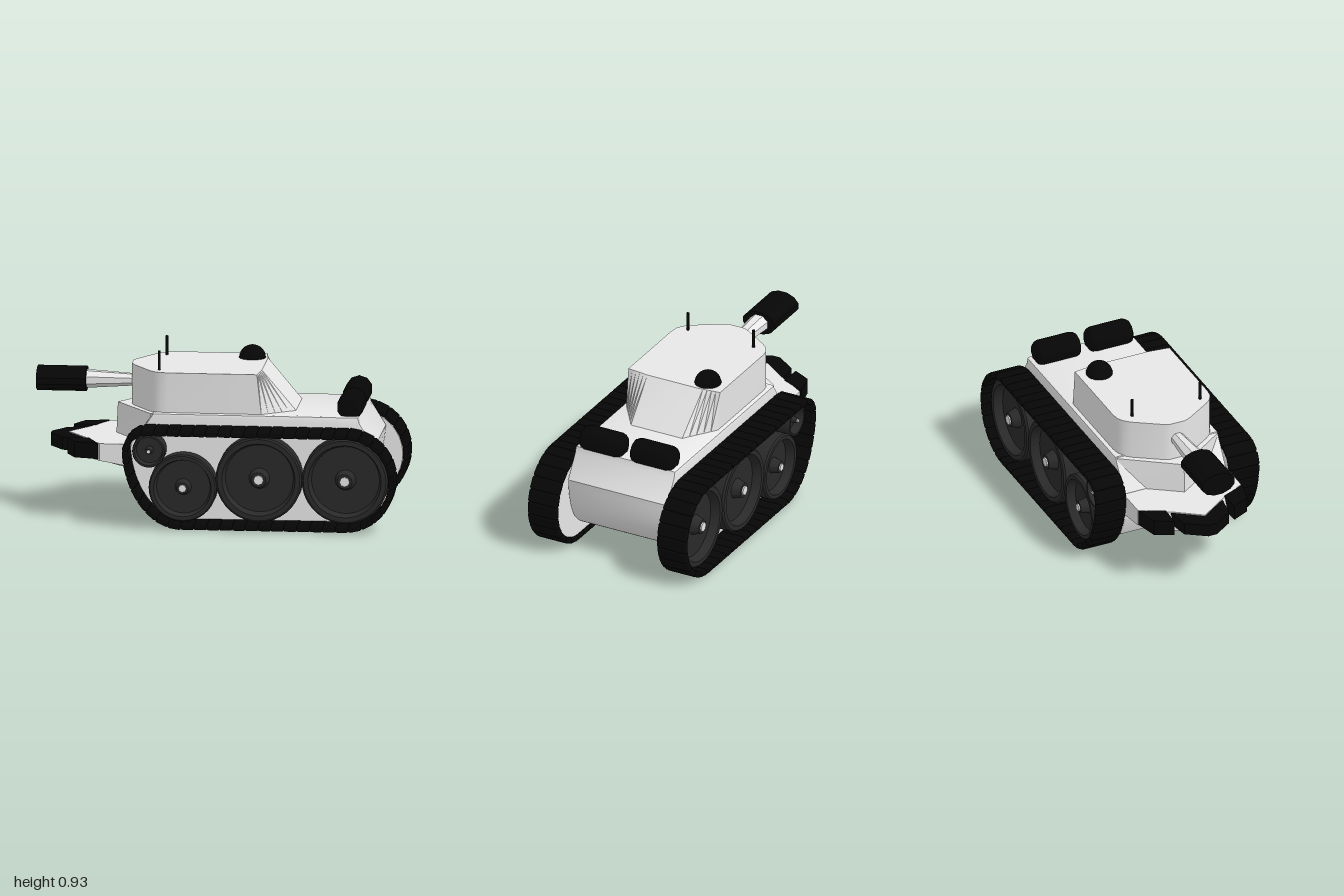
import * as THREE from 'three';
import { mergeGeometries, toCreasedNormals } from 'three/addons/utils/BufferGeometryUtils.js';
import { RoundedBoxGeometry } from 'three/addons/geometries/RoundedBoxGeometry.js';

const mat = (name, color) => Object.assign(new THREE.MeshStandardMaterial({ color }), { name });
const lightGrey = mat('light grey armour', 0xeaeaea);
const black = mat('black rubber', 0x060606);
const darkGrey = mat('dark grey wheel', 0x292929);

function add(parent, name, geometry, material, x = 0, y = 0, z = 0) {
  const mesh = new THREE.Mesh(geometry, material);
  mesh.name = name;
  mesh.position.set(x, y, z);
  parent.add(mesh);
  return mesh;
}

// Mirrors half an outline of [x, y, z] points across z = 0, sharing points that lie on it
const mirrored = (half) => [...half, ...half.filter((p) => p[2] !== 0).map(([x, y, z]) => [x, y, -z]).reverse()];

// Solid between two rings with equal numbers of points
function loft(bottom, top, crease = 0.5) {
  const plan = top.map(([x, , z]) => new THREE.Vector2(x, -z));
  if (THREE.ShapeUtils.area(plan) < 0) return loft([...bottom].reverse(), [...top].reverse(), crease);
  const pos = [];
  bottom.forEach((b, i) => {
    const j = (i + 1) % bottom.length;
    pos.push(...b, ...bottom[j], ...top[j], ...b, ...top[j], ...top[i]);
  });
  for (const [a, b, c] of THREE.ShapeUtils.triangulateShape(plan, [])) {
    pos.push(...top[a], ...top[b], ...top[c], ...bottom[a], ...bottom[c], ...bottom[b]);
  }
  const geo = new THREE.BufferGeometry();
  geo.setAttribute('position', new THREE.Float32BufferAttribute(pos, 3));
  geo.computeVertexNormals();
  return toCreasedNormals(geo, crease);
}

// Upright block from a plan of [x, z] points
const block = (plan, y0, y1) => loft(plan.map(([x, z]) => [x, y0, z]), plan.map(([x, z]) => [x, y1, z]));

// Lathe from [radius, height] points, turned so its axis points along side * z
function turned(points, segments, side = 1, crease = 0.6) {
  const geo = new THREE.LatheGeometry(points.map(([r, h]) => new THREE.Vector2(r, h)), segments);
  return toCreasedNormals(geo, crease).rotateX(side * Math.PI / 2);
}

// Track loop, inset by d
function trackLoop(d) {
  const s = new THREE.Shape();
  s.moveTo(-0.17, 0.02 + d);
  s.lineTo(0.72, 0.022 + d);
  s.absarc(0.72, 0.279, 0.257 - d, -Math.PI / 2, Math.PI / 2, false);
  s.lineTo(-0.36, 0.535 - d);
  s.absarc(-0.36, 0.42, 0.115 - d, Math.PI / 2, Math.PI, false);
  s.bezierCurveTo(-0.46 + d, 0.2 + d / 2, -0.33 + d / 2, 0.02 + d, -0.17, 0.02 + d);
  return s;
}

function buildHull() {
  const hull = new THREE.Group();
  hull.name = 'hull';

  // Main body with curved stern
  const side = new THREE.Shape();
  side.moveTo(-0.45, 0.27);
  side.lineTo(-0.4, 0.15);
  side.lineTo(-0.34, 0.11);
  side.lineTo(0.66, 0.11);
  side.bezierCurveTo(0.79, 0.11, 0.86, 0.25, 0.87, 0.445);
  side.lineTo(0.79, 0.575);
  side.lineTo(0.78, 0.61);
  side.lineTo(-0.34, 0.61);
  side.lineTo(-0.45, 0.44);
  const body = new THREE.ExtrudeGeometry(side, {
    depth: 0.59, bevelThickness: 0.015, bevelSize: 0.015, bevelOffset: -0.015, bevelSegments: 2, curveSegments: 16,
  }).translate(0, 0, -0.295);
  add(hull, 'hullBody', toCreasedNormals(body, 0.5), lightGrey);

  // Raised bow meeting in a pointed prow
  const bow = mirrored([[-0.57, 0.43, 0], [-0.36, 0.43, 0.308], [-0.2, 0.43, 0.308]]);
  add(hull, 'upperBow', loft(bow, bow.map(([x, , z]) => [x + 0.008, 0.605, z * 0.97])), lightGrey);

  // Flat pointed nose with sloping underside
  add(hull, 'nose', loft(
    mirrored([[-0.83, 0.34, 0], [-0.78, 0.34, 0.13], [-0.63, 0.34, 0.31], [-0.4, 0.3, 0.31], [-0.4, 0.25, 0.16]]),
    mirrored([[-0.83, 0.435, 0], [-0.73, 0.435, 0.14], [-0.63, 0.435, 0.31], [-0.4, 0.435, 0.31], [-0.4, 0.435, 0.16]]),
  ), lightGrey);

  // Bumper pads
  add(hull, 'centreBumper', block([[-0.925, 0.025], [-0.85, 0.135], [-0.72, 0.155], [-0.8, 0],
    [-0.72, -0.155], [-0.85, -0.135], [-0.925, -0.025]], 0.36, 0.43), black);
  for (const s of [1, -1]) {
    add(hull, 'sideBumper', block(
      [[-0.82, 0.18 * s], [-0.77, 0.28 * s], [-0.64, 0.312 * s], [-0.7, 0.175 * s]], 0.35, 0.438), black);
  }

  // Fuel drums on the rear deck
  const drum = turned([[0, -0.125], [0.055, -0.125], [0.066, -0.117], [0.073, -0.095],
    [0.073, 0.095], [0.066, 0.117], [0.055, 0.125], [0, 0.125]], 10, 1, 0.7);
  for (const s of [1, -1]) add(hull, 'fuelDrum', drum, black, 0.73, 0.653, 0.157 * s);
  return hull;
}

function buildTurret() {
  const turret = new THREE.Group();
  turret.name = 'turret';

  // Shell with rounded cheeks and sloped rear; the rear corners twist gradually
  const cheeks = [[-0.48, 0.045], [-0.465, 0.08], [-0.37, 0.225], [-0.34, 0.258], [-0.305, 0.278], [-0.26, 0.284]];
  const ring = (y, cornerX, rearX) => {
    const corner = [0, 0.2, 0.4, 0.6, 0.8, 1].map((t) => [cornerX + (rearX - cornerX) * t, 0.284 - 0.126 * t]);
    return mirrored([...cheeks, ...corner].map(([x, z]) => [x, y, z]));
  };
  add(turret, 'turretShell', loft(ring(0.6, 0.25, 0.435), ring(0.83, 0.225, 0.24)), lightGrey);

  // Gun, widening toward the muzzle
  const barrel = new THREE.CylinderGeometry(0.052, 0.03, 0.32, 8).rotateY(Math.PI / 8).rotateZ(Math.PI / 2);
  add(turret, 'gunBarrel', toCreasedNormals(barrel.scale(1, 1, 1.15), 0.5), lightGrey, -0.58, 0.73, 0);
  const muzzle = new THREE.CylinderGeometry(0.067, 0.067, 0.27, 12).rotateY(Math.PI / 12).rotateZ(Math.PI / 2);
  add(turret, 'muzzle', toCreasedNormals(muzzle.scale(1, 1, 1.5), 0.6), black, -0.865, 0.73, 0);

  // Hatch dome and antennas
  const dome = new THREE.SphereGeometry(0.073, 24, 10, 0, Math.PI * 2, 0, Math.PI / 2);
  add(turret, 'hatchDome', dome, black, 0.155, 0.828, -0.17);
  for (const z of [0.212, -0.195]) {
    add(turret, 'antenna', new THREE.CylinderGeometry(0.008, 0.008, 0.115, 8), black, -0.315, 0.878, z);
  }
  return turret;
}

// One running gear: track links, side panel and wheels
function buildRunningGear(s) {
  const gear = new THREE.Group();
  gear.name = s > 0 ? 'frontSideRunningGear' : 'backSideRunningGear';

  const count = 50;
  const points = trackLoop(0).getSpacedPoints(count * 2);
  const links = [];
  for (let i = 0; i < count; i++) {
    const p = points[i * 2 + 1], a = points[i * 2], b = points[i * 2 + 2];
    links.push(new RoundedBoxGeometry(0.073, 0.034, 0.18, 2, 0.011)
      .rotateZ(Math.atan2(b.y - a.y, b.x - a.x)).translate(p.x, p.y, 0.4 * s));
  }
  add(gear, 'track', mergeGeometries(links), black);

  const panel = new THREE.ExtrudeGeometry(trackLoop(0.018), { depth: 0.03, bevelEnabled: false, curveSegments: 20 });
  add(gear, 'sidePanel', toCreasedNormals(panel, 0.5), lightGrey, 0, 0, s > 0 ? 0.32 : -0.35);

  for (const [x, y, r] of [[-0.165, 0.225, 0.185], [0.25, 0.28, 0.235], [0.72, 0.28, 0.235], [-0.35, 0.425, 0.09]]) {
    const wheel = new THREE.Group();
    wheel.name = 'wheel';
    wheel.position.set(x, y, 0.345 * s);
    gear.add(wheel);
    add(wheel, 'wheelDish', turned([[r, 0], [r, 0.09], [r * 0.96, 0.1], [r * 0.85, 0.1], [r * 0.79, 0.05],
      [r * 0.24, 0.05], [r * 0.17, 0.1], [0, 0.1]], 36, s), darkGrey);
    add(wheel, 'hubCap', turned([[r * 0.115, 0.09], [r * 0.115, 0.108], [0, 0.108]], 8, s), lightGrey);
  }
  return gear;
}

export function createModel() {
  const model = new THREE.Group();
  model.name = 'tank';
  model.add(buildHull(), buildTurret(), buildRunningGear(1), buildRunningGear(-1));
  return model;
}
